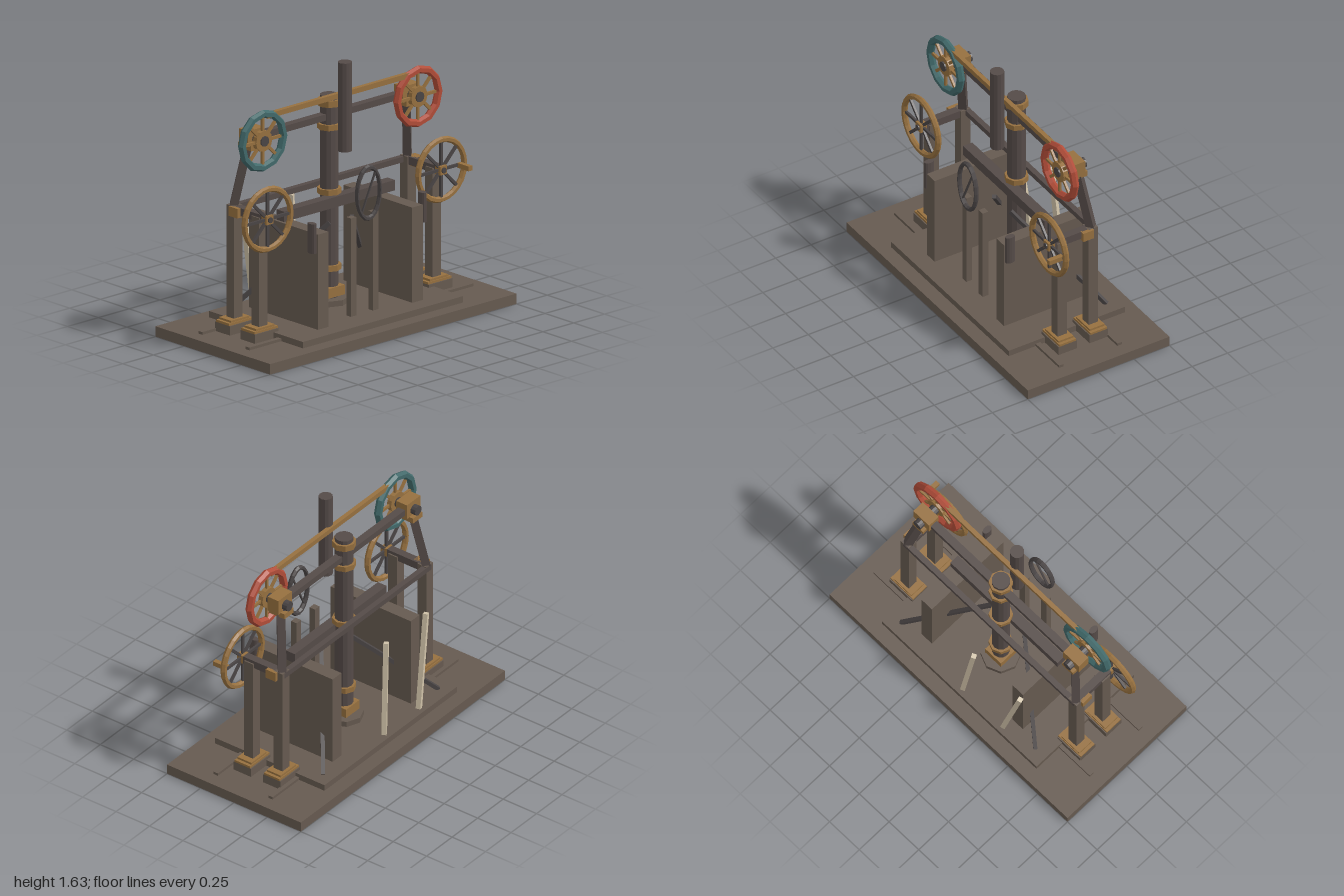
import * as THREE from 'three';

const mat = (name, color) => {
  const m = new THREE.MeshStandardMaterial({ color });
  m.name = name;
  return m;
};

export function createModel() {
  const wood = mat('brown stone', 0x665a50);
  const iron = mat('dark iron', 0x554b48);
  const steel = mat('blackened steel', 0x4a4545);
  const brass = mat('brass', 0x96703f);
  const red = mat('red paint', 0xb04c38);
  const teal = mat('teal paint', 0x41696a);
  const cream = mat('cream wood', 0xd0c2a8);

  const model = new THREE.Group();
  model.name = 'beltEngine';

  // Helpers: faceted mesh, box, cylinder, bar between two points
  const add = (name, geo, material, x = 0, y = 0, z = 0, parent = model) => {
    const g = geo.index ? geo.toNonIndexed() : geo;
    g.computeVertexNormals();
    const m = new THREE.Mesh(g, material);
    m.name = name;
    m.position.set(x, y, z);
    parent.add(m);
    return m;
  };
  const box = (name, material, x0, x1, y0, y1, z0, z1) =>
    add(name, new THREE.BoxGeometry(x1 - x0, y1 - y0, z1 - z0), material,
      (x0 + x1) / 2, (y0 + y1) / 2, (z0 + z1) / 2);
  const post = (name, material, r, x, y0, y1, z, sides = 12) =>
    add(name, new THREE.CylinderGeometry(r, r, y1 - y0, sides), material, x, (y0 + y1) / 2, z);
  const axle = (name, material, r, x, y, z0, z1, sides = 12, parent = model) =>
    add(name, new THREE.CylinderGeometry(r, r, z1 - z0, sides).rotateX(Math.PI / 2),
      material, x, y, (z0 + z1) / 2, parent);
  const bar = (name, material, a, b, w, d) => {
    const p = new THREE.Vector3(...a), q = new THREE.Vector3(...b);
    const m = add(name, new THREE.BoxGeometry(w, d, p.distanceTo(q)), material);
    m.position.copy(p).lerp(q, 0.5);
    m.lookAt(q);
    return m;
  };
  const wheel = (name, x, y, z, o) => {
    const g = new THREE.Group();
    g.name = name;
    g.position.set(x, y, z);
    add('rim', new THREE.TorusGeometry(o.r, o.tube, 6, o.sides), o.rim, 0, 0, 0, g);
    for (let i = 0; i < o.spokes / 2; i++) {
      add('spoke', new THREE.BoxGeometry(o.r * 2, 0.018, 0.014), o.spoke, 0, 0, 0, g)
        .rotation.z = (i * 2 * Math.PI) / o.spokes;
    }
    model.add(g);
    return g;
  };

  // Stepped base and rails
  box('basePlate', wood, -1, 1, 0, 0.065, -0.5, 0.5);
  box('upperPlate', wood, -0.65, 0.65, 0.065, 0.105, -0.41, 0.41);
  for (const z of [-0.205, 0.205]) box('baseRail', wood, -0.91, 0.91, 0.065, 0.082, z - 0.016, z + 0.016);

  // Central column with brass collars
  post('columnFoot', wood, 0.12, 0, 0.105, 0.14, -0.06, 8);
  post('column', iron, 0.056, 0, 0.14, 1.4, -0.06);
  box('columnBlock', brass, -0.066, 0.066, 0.15, 0.21, -0.126, 0.006);
  for (const [y0, y1] of [[0.31, 0.345], [0.785, 0.82], [1.19, 1.225], [1.335, 1.375]]) {
    post('columnCollar', brass, 0.073, 0, y0, y1, -0.06, 8);
  }
  post('piston', iron, 0.043, 0, 1.08, 1.635, 0.077);

  // Cross beams and belt
  box('upperBeam', iron, -0.63, 0.63, 1.25, 1.29, -0.085, -0.035);
  box('rearBeam', iron, -0.72, 0.72, 0.81, 0.845, -0.165, -0.13);
  box('crossBeam', iron, -0.45, 0.45, 0.72, 0.785, -0.035, 0.03);
  box('belt', brass, -0.6, 0.6, 1.403, 1.435, 0.022, 0.05);

  for (const s of [-1, 1]) {
    const side = s < 0 ? 'right' : 'left';
    const x = s * 0.705;
    // Bed wall
    box(side + 'Wall', wood, s * 0.383 - 0.043, s * 0.383 + 0.043, 0.105, 0.7, -0.3, 0.3);

    // Frame posts on stepped feet
    for (const [z, top] of [[0.09, 0.83], [-0.13, 0.85]]) {
      box('postFoot', wood, x - 0.095, x + 0.095, 0.065, 0.123, z - 0.065, z + 0.065);
      box('postPlate', brass, x - 0.095, x + 0.095, 0.123, 0.137, z - 0.058, z + 0.058);
      box('postCollar', brass, x - 0.075, x + 0.075, 0.137, 0.15, z - 0.052, z + 0.052);
      box('framePost', wood, x - 0.034, x + 0.034, 0.13, top, z - 0.033, z + 0.033);
    }
    box('topRail', iron, x - 0.025, x + 0.025, 0.8, 0.85, -0.16, 0.15);
    box('bearing', brass, x + s * 0.02 - 0.03, x + s * 0.02 + 0.03, 0.79, 0.85, -0.125, -0.05);

    // Leaning arm up to the pulley bearing
    bar('leaningArm', iron, [x, 0.84, -0.135], [s * 0.64, 1.24, -0.075], 0.05, 0.05);
    box('pulleyBearing', brass, s * 0.63 - 0.066, s * 0.63 + 0.066, 1.23, 1.33, -0.1, -0.02);
    box('bearingCap', brass, s * 0.63 - 0.045, s * 0.63 + 0.045, 1.2, 1.235, -0.13, -0.015);

    // Painted pulley
    const pulley = wheel(side + 'Pulley', s * 0.63, 1.27, 0.037,
      { r: 0.168, tube: 0.025, sides: 12, spokes: 8, rim: s < 0 ? teal : red, spoke: brass });
    axle('hub', brass, 0.066, 0, 0, -0.018, 0.014, 12, pulley);
    axle('pulleyAxle', steel, 0.032, s * 0.63, 1.27, -0.135, 0.06);

    // Hand wheel
    const hand = wheel(side + 'HandWheel', x, 0.825, 0.16,
      { r: 0.187, tube: 0.019, sides: 24, spokes: 8, rim: brass, spoke: steel });
    add('hub', new THREE.BoxGeometry(0.055, 0.055, 0.045), brass, 0, 0, 0, hand);
    axle('handWheelAxle', steel, 0.018, x, 0.825, 0.1, 0.19);

    // Uprights, hanging weights and diagonal braces
    box('frontUpright', wood, s * 0.09 - 0.022, s * 0.09 + 0.022, 0.105, 0.72, 0.21, 0.25);
    post('hangingWeight', iron, 0.02, s * 0.447, 0.585, 0.77, 0.272).scale.z = 1.6;
    bar('brace', steel, [s * 0.09, 0.64, 0.04], [s * 0.565, 0.105, -0.335], 0.024, 0.024);
  }
  box('crankHandle', brass, 0.835, 0.865, 0.808, 0.838, 0.16, 0.26);

  // Oval ring in front
  const oval = new THREE.Group();
  oval.name = 'ovalRing';
  oval.position.set(0, 0.865, 0.283);
  oval.scale.x = 0.58;
  add('rim', new THREE.TorusGeometry(0.16, 0.016, 6, 20), steel, 0, 0, 0, oval);
  add('ringBar', new THREE.BoxGeometry(0.32, 0.012, 0.012), steel, 0, 0, 0, oval).rotation.z = 0.9;
  model.add(oval);

  // Leaning planks behind
  bar('leaningPlank', cream, [-0.33, 0.107, -0.368], [-0.44, 0.72, -0.337], 0.03, 0.03);
  bar('leaningPlank', cream, [0.01, 0.107, -0.368], [-0.05, 0.72, -0.337], 0.03, 0.03);

  return model;
}
